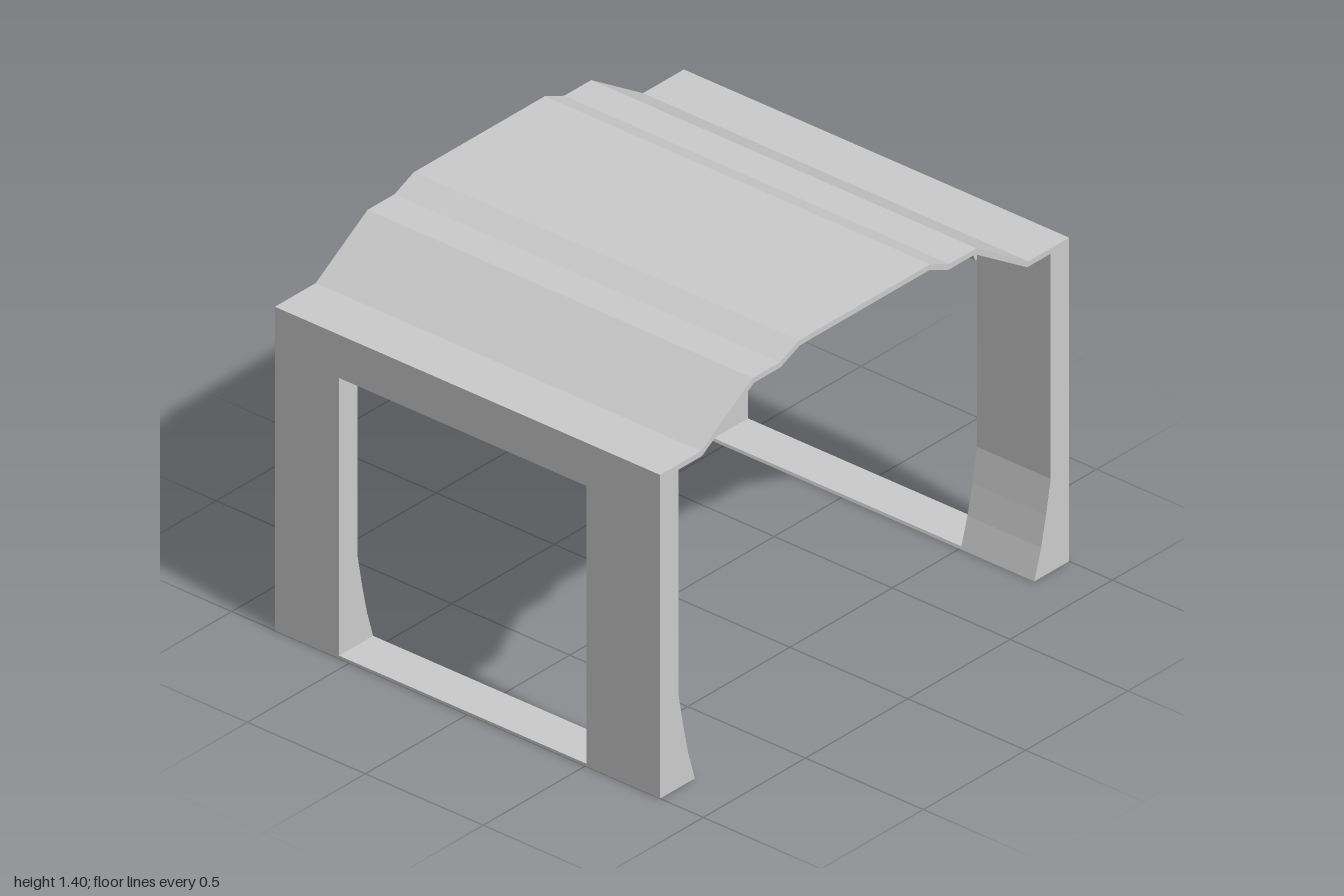
import * as THREE from 'three';

const HALF = 0.817;              // half width of the shelter
const OPEN = [-0.545, 0.505];    // doorway limits along x

// Extrude a [z, y] outline along x from x0 to x1
function extrudeX(name, outline, x0, x1, material) {
  const shape = new THREE.Shape(outline.map(([z, y]) => new THREE.Vector2(z, y)));
  const geometry = new THREE.ExtrudeGeometry(shape, { depth: x1 - x0, bevelEnabled: false });
  geometry.rotateY(-Math.PI / 2).translate(x1, 0, 0);
  const mesh = new THREE.Mesh(geometry, material);
  mesh.name = name;
  return mesh;
}

export function createModel() {
  const model = new THREE.Group();
  model.name = 'archedShelter';
  const material = new THREE.MeshStandardMaterial({ color: 0xcccccc, flatShading: true });

  // Side outlines, given for the front wall
  const post = [[1, 0], [1, 1.2], [0.91, 1.2], [0.91, 0.345], [0.887, 0.22], [0.863, 0.11], [0.83, 0]];
  const lintel = [[1, 1.04], [1, 1.2], [0.91, 1.2], [0.91, 1.18], [0.887, 1.18], [0.887, 1.075], [0.9, 1.04]];
  const sill = [[1, 0], [1, 0.01], [0.833, 0.01], [0.83, 0]];

  // Front and back walls, each a frame round a doorway
  for (const [side, s] of [['front', 1], ['back', -1]]) {
    const wall = new THREE.Group();
    wall.name = side + 'Wall';
    const flip = (outline) => outline.map(([z, y]) => [z * s, y]);
    wall.add(
      extrudeX('rightPost', flip(post), -HALF, OPEN[0], material),
      extrudeX('leftPost', flip(post), OPEN[1], HALF, material),
      extrudeX('lintel', flip(lintel), OPEN[0], OPEN[1], material),
      extrudeX('sill', flip(sill), OPEN[0], OPEN[1], material)
    );
    model.add(wall);
  }

  // Stepped roof sheet: upper outline, then the underside back again
  const upper = [[0.91, 1.2], [0.8, 1.2], [0.547, 1.36], [0.415, 1.36], [0.32, 1.4]];
  const lower = [[0.91, 1.18], [0.795, 1.18], [0.541, 1.34], [0.411, 1.34], [0.316, 1.38]];
  const across = (half) => [...half, ...half.map(([z, y]) => [-z, y]).reverse()];
  model.add(extrudeX('roof', [...across(upper), ...across(lower).reverse()], -HALF, HALF, material));

  return model;
}
